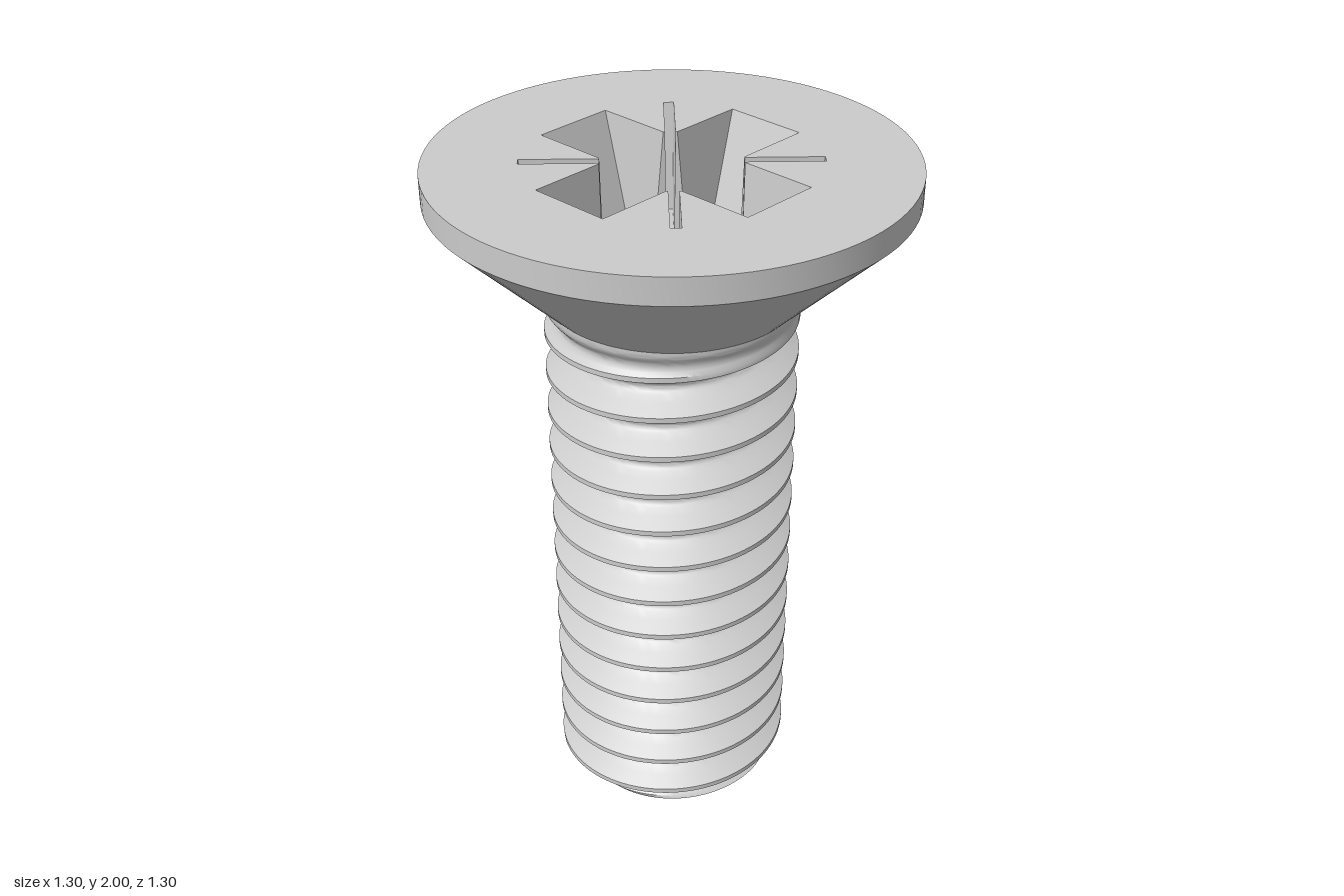
import * as THREE from 'three';
import { toCreasedNormals } from 'three/addons/utils/BufferGeometryUtils.js';

const TOP = 2, NECK_Y = 1.63, HEAD_R = 0.648, SHANK_R = 0.348;
const PITCH = 0.1206, PHASE = 0.088, SEGS = 96;
const RECESS_DEPTH = 0.3, BORE_R = 0.183;

const material = new THREE.MeshStandardMaterial({ color: 0xcccccc });

function add(group, name, geometry) {
  const mesh = new THREE.Mesh(geometry, material);
  mesh.name = name;
  group.add(mesh);
}

function fromTriangles(positions) {
  const g = new THREE.BufferGeometry();
  g.setAttribute('position', new THREE.Float32BufferAttribute(positions, 3));
  return g;
}

// Thread profile over half a pitch: [fraction of pitch from crest, depth in pitches]
const PROFILE = [[0, 0], [0.0625, 0], [0.15, 0.15], [0.25, 0.325], [0.35, 0.5],
  [0.4, 0.565], [0.45, 0.602], [0.5, 0.613]];

function threadDepth(t) {
  const f = t - Math.floor(t), h = Math.min(f, 1 - f);
  let i = 1;
  while (i < PROFILE.length - 1 && PROFILE[i][0] < h) i++;
  const [t0, d0] = PROFILE[i - 1], [t1, d1] = PROFILE[i];
  return (d0 + (d1 - d0) * (h - t0) / (t1 - t0)) * PITCH;
}

// Right-handed thread, chamfered at the tip and running out under the head
function threadGeometry() {
  const steps = [...PROFILE.slice(1).map(p => p[0]),
    ...PROFILE.slice(1, -1).reverse().map(p => 1 - p[0])];
  const rows = [];
  for (let k = -3; k <= 15; k++) for (const s of steps) rows.push((k + s) * PITCH + PHASE);

  const point = (row, j) => {
    const a = (j / SEGS) * Math.PI * 2;
    const y = THREE.MathUtils.clamp(row + PITCH * j / SEGS, 0, NECK_Y);
    const fade = 1 - THREE.MathUtils.smoothstep(y, 1.52, 1.62);
    const depth = threadDepth((y - PHASE) / PITCH - j / SEGS) * fade;
    const r = Math.min(SHANK_R - depth, 0.278 + y);
    return [r * Math.sin(a), y, r * Math.cos(a)];
  };

  const pos = [];
  for (let i = 0; i < rows.length - 1; i++) {
    for (let j = 0; j < SEGS; j++) {
      const a = point(rows[i], j), b = point(rows[i], j + 1);
      const c = point(rows[i + 1], j), d = point(rows[i + 1], j + 1);
      if (c[1] - a[1] > 1e-6) pos.push(...a, ...b, ...c);
      if (d[1] - b[1] > 1e-6) pos.push(...b, ...d, ...c);
    }
  }
  return toCreasedNormals(fromTriangles(pos), 0.7);
}

// Cross with four thin diagonal slots, counterclockwise
function recessOutline(armLength, armHalf, innerR, slotEnd, slotHalf) {
  const inner = Math.sqrt(innerR ** 2 - armHalf ** 2), q = Math.SQRT1_2;
  const diag = (r, w) => [(r - w) * q, (r + w) * q];
  const quarter = [[armLength, -armHalf], [armLength, armHalf], [inner, armHalf],
    diag(innerR, -slotHalf), diag(slotEnd, -slotHalf),
    diag(slotEnd, slotHalf), diag(innerR, slotHalf), [armHalf, inner]];
  const points = [];
  for (let k = 0; k < 4; k++) {
    for (const [x, y] of quarter) {
      points.push(new THREE.Vector2(x, y).rotateAround(new THREE.Vector2(), k * Math.PI / 2));
    }
  }
  return points;
}

function flatFace(shape, y, segments) {
  return new THREE.ShapeGeometry(shape, segments).rotateX(-Math.PI / 2).translate(0, y, 0);
}

export function createModel() {
  const group = new THREE.Group();
  group.name = 'countersunkScrew';

  // Threaded shank and its flat tip
  add(group, 'threadedShank', threadGeometry());
  add(group, 'shankTip', new THREE.CircleGeometry(0.278, SEGS).rotateX(Math.PI / 2));

  // Countersunk head with a short straight rim
  const side = [[SHANK_R, NECK_Y], [HEAD_R, 1.925], [HEAD_R, TOP]];
  add(group, 'headSide', toCreasedNormals(
    new THREE.LatheGeometry(side.map(p => new THREE.Vector2(...p)), SEGS), 0.5));

  // Top face, cut by the recess
  const upper = recessOutline(0.365, 0.119, 0.188, 0.396, 0.014);
  const lower = recessOutline(0.262, 0.098, 0.187, 0.35, 0.011);
  const top = new THREE.Shape().absarc(0, 0, HEAD_R, 0, Math.PI * 2);
  top.holes.push(new THREE.Path([...upper].reverse()));
  add(group, 'headTop', flatFace(top, TOP, SEGS / 2));

  // Tapered recess walls
  const floorY = TOP - RECESS_DEPTH, walls = [];
  upper.forEach((p, i) => {
    const n = (i + 1) % upper.length;
    const a = [p.x, TOP, -p.y], b = [upper[n].x, TOP, -upper[n].y];
    const c = [lower[i].x, floorY, -lower[i].y], d = [lower[n].x, floorY, -lower[n].y];
    walls.push(...a, ...b, ...c, ...b, ...d, ...c);
  });
  const wallGeometry = fromTriangles(walls);
  wallGeometry.computeVertexNormals();
  add(group, 'recessWalls', wallGeometry);

  // Recess floor around a conical drill point
  const floor = new THREE.Shape(lower);
  floor.holes.push(new THREE.Path().absarc(0, 0, BORE_R, 0, Math.PI * 2, true));
  add(group, 'recessFloor', flatFace(floor, floorY, 24));
  add(group, 'drillPoint', new THREE.LatheGeometry(
    [new THREE.Vector2(0, floorY - 0.1), new THREE.Vector2(BORE_R, floorY)].reverse(), 48));

  return group;
}
